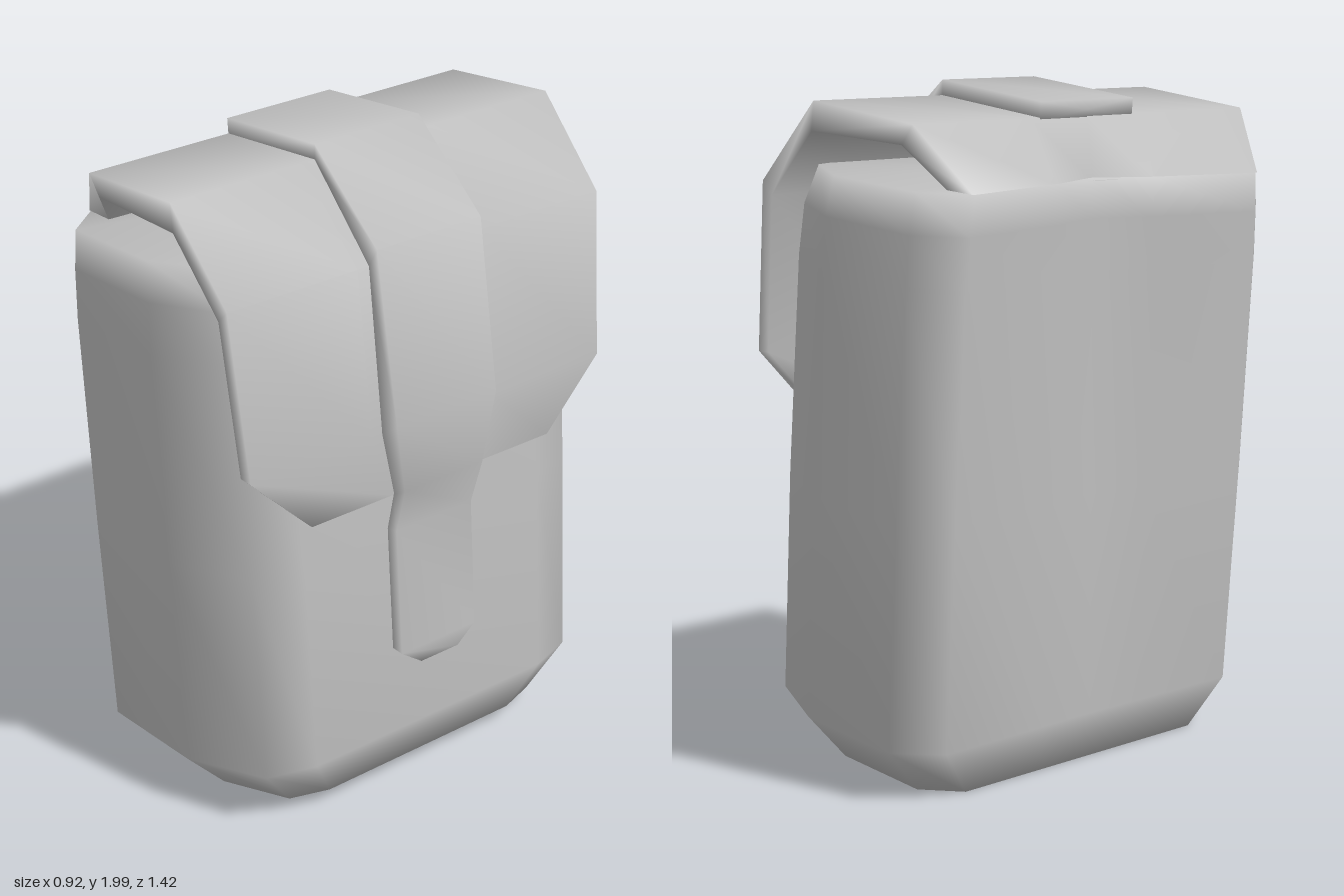
import * as THREE from 'three';

const canvas = new THREE.MeshStandardMaterial({ color: 0xbfbfbf, side: THREE.DoubleSide });
canvas.name = 'grey canvas';

// Skin a list of equal-length closed rings with smooth normals and optional fan caps
function loft(name, rings, capStart, capEnd) {
  const n = rings[0].length;
  const pos = rings.flat(2);
  const index = [];
  for (let i = 0; i < rings.length - 1; i++) {
    for (let j = 0; j < n; j++) {
      const k = (j + 1) % n;
      const a = i * n + j, b = i * n + k, c = a + n, d = b + n;
      index.push(a, b, c, b, d, c);
    }
  }
  const cap = (row, flip) => {
    const centre = pos.length / 3;
    for (let axis = 0; axis < 3; axis++) {
      pos.push(rings[row].reduce((sum, p) => sum + p[axis], 0) / n);
    }
    for (let j = 0; j < n; j++) {
      const a = row * n + j, b = row * n + (j + 1) % n;
      index.push(centre, flip ? b : a, flip ? a : b);
    }
  };
  if (capStart) cap(0, true);
  if (capEnd) cap(rings.length - 1, false);
  const geometry = new THREE.BufferGeometry();
  geometry.setAttribute('position', new THREE.Float32BufferAttribute(pos, 3));
  geometry.setIndex(index);
  geometry.computeVertexNormals();
  const mesh = new THREE.Mesh(geometry, canvas);
  mesh.name = name;
  return mesh;
}

// Bag body: rounded sections stacked along a slightly leaning axis
function makeBody() {
  const half = [[0.388, 0.44], [0.34, 0.59], [0.1, 0.703], [-0.26, 0.71], [-0.365, 0.585], [-0.365, 0.2]];
  // height, front scale, back scale, width scale
  const rows = [
    [0, 0.87, 0.91, 0.8],
    [0.145, 1.02, 1, 0.99],
    [0.8, 1.02, 1, 1],
    [1.45, 0.99, 1, 1],
    [1.6, 0.96, 1, 0.99],
    [1.715, 0.83, 1, 0.97],
  ];
  const rings = rows.map(([v, front, back, width]) => {
    const dent = 0.07 * v; // hollow back, deepest at the top
    const place = (u, z) => [0.025 + u - 0.07 * v, 0.033 + 0.075 * u + v, z];
    const side = half.map(([u, z], i) =>
      [u * (u > 0 ? front : back) + (i === 5 ? dent * 0.52 : 0), z * width]);
    return [
      ...side.map(([u, z]) => place(u, -z)),
      place(-0.365 * back + dent, 0),
      ...side.slice().reverse().map(([u, z]) => place(u, z)),
    ];
  });
  return loft('body', rings, true, true);
}

// Thick strip following a side profile; across: [width fraction, share of the hollow]
// stations: outer x, y, inner x, y, half width, outer hollow, inner hollow
function makeStrip(name, across, stations, capStart) {
  const rings = stations.map(([xo, yo, xi, yi, w, outer = 0, inner = 0]) => [
    ...across.map(([t, d]) => [xo + d * outer, yo, t * w]),
    ...across.slice().reverse().map(([t, d]) => [xi + d * inner, yi, t * w]),
  ]);
  return loft(name, rings, capStart, true);
}

export function createModel() {
  const bag = new THREE.Group();
  bag.name = 'bag';
  bag.add(makeBody());

  // Flap continuing from the back edge, over the open gap and down the front
  bag.add(makeStrip('flap', [[-1, 0], [-0.34, 0.52], [0, 1], [0.34, 0.52], [1, 0]], [
    [-0.46, 1.721, -0.36, 1.725, 0.575, 0.12, 0.035],
    [-0.315, 1.905, -0.27, 1.848, 0.66],
    [0.09, 1.955, 0.1, 1.87, 0.668],
    [0.33, 1.72, 0.29, 1.68, 0.662],
    [0.39, 1.22, 0.345, 1.22, 0.64],
    [0.4, 1.02, 0.355, 1.02, 0.44],
  ], false));

  // Closing strap lying on the flap, narrowing to a tab
  bag.add(makeStrip('strap', [[-1, 0], [1, 0]], [
    [-0.32, 1.95, -0.315, 1.895, 0.185],
    [0.09, 2, 0.09, 1.95, 0.185],
    [0.365, 1.78, 0.325, 1.715, 0.185],
    [0.455, 1.27, 0.388, 1.22, 0.182],
    [0.447, 1.05, 0.398, 1.02, 0.145],
    [0.407, 0.9, 0.366, 0.89, 0.14],
    [0.438, 0.495, 0.396, 0.495, 0.14],
    [0.444, 0.445, 0.402, 0.445, 0.07],
  ], true));

  return bag;
}
